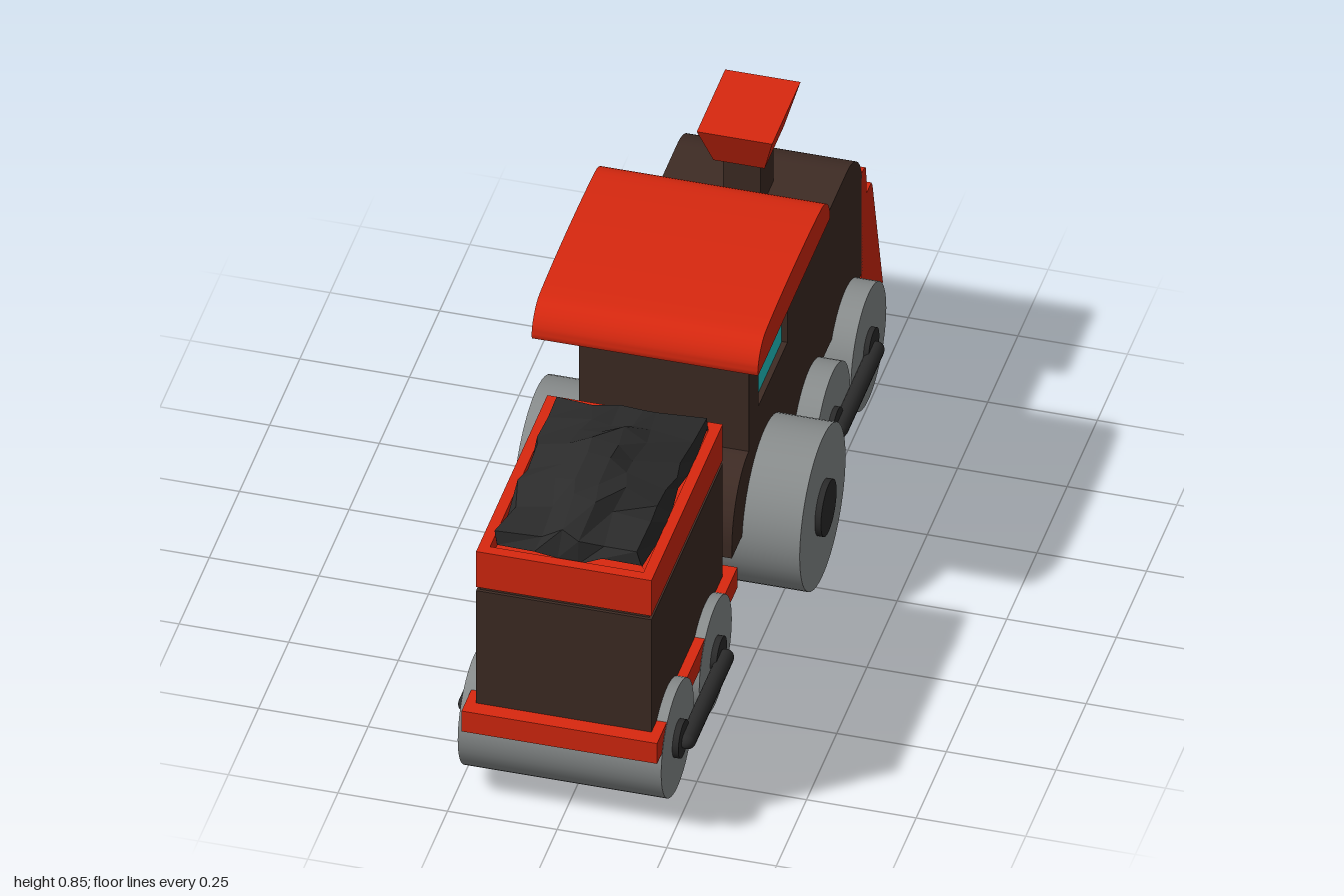
import * as THREE from 'three';
import { toCreasedNormals } from 'three/addons/utils/BufferGeometryUtils.js';

const mat = (color, flatShading = false) => new THREE.MeshStandardMaterial({ color, flatShading });

export function createModel() {
  const red = mat(0xd9280f), brown = mat(0x3f2c25), grey = mat(0x8a8e8e);
  const black = mat(0x2b2b2b), coalMat = mat(0x2b2b2b, true), glass = mat(0x22cccc);
  const root = new THREE.Group();

  const add = (name, geo, material, parent = root) => {
    const m = new THREE.Mesh(geo, material);
    m.name = name;
    parent.add(m);
    return m;
  };
  // box given by its minimum and maximum corners
  const box = (name, material, x0, x1, y0, y1, z0, z1, parent) => {
    const m = add(name, new THREE.BoxGeometry(x1 - x0, y1 - y0, z1 - z0), material, parent);
    m.position.set((x0 + x1) / 2, (y0 + y1) / 2, (z0 + z1) / 2);
    return m;
  };
  // side profile drawn in (z, y), extruded across the width
  const across = (shape, x0, x1) => {
    const g = new THREE.ExtrudeGeometry(shape, { depth: x1 - x0, bevelEnabled: false, curveSegments: 12 });
    g.rotateY(-Math.PI / 2);
    g.translate(x1, 0, 0);
    return toCreasedNormals(g, 0.6);
  };
  const polygon = pts => new THREE.Shape(pts.map(p => new THREE.Vector2(...p)));
  // cylinder lying along x
  const drum = (name, material, r, halfWidth, y, z, parent, x = 0) => {
    const g = new THREE.CylinderGeometry(r, r, halfWidth * 2, 48);
    g.rotateZ(Math.PI / 2);
    add(name, g, material, parent).position.set(x, y, z);
  };

  // Engine: body with fender, cab and rounded boiler nose
  const engine = new THREE.Group();
  engine.name = 'engine';
  root.add(engine);
  const body = new THREE.Shape();
  body.moveTo(-0.83, 0.24);
  body.lineTo(0.25, 0.24);
  body.lineTo(0.25, 0.27);
  body.absellipse(0.11, 0.27, 0.14, 0.163, 0, Math.PI / 2, false);
  body.lineTo(0.11, 0.775);
  body.lineTo(-0.265, 0.775);
  body.lineTo(-0.265, 0.61);
  body.lineTo(-0.7, 0.61);
  body.absellipse(-0.7, 0.48, 0.13, 0.13, Math.PI / 2, Math.PI, false);
  body.closePath();
  body.holes.push(new THREE.Path([[0.03, 0.5], [-0.21, 0.5], [-0.21, 0.72], [0.03, 0.72]]
    .map(p => new THREE.Vector2(...p))));
  add('engineBody', across(body, -0.195, 0.192), brown, engine);
  box('cabWindows', glass, -0.182, 0.179, 0.495, 0.725, -0.215, 0.035, engine);

  // Cab roof with rounded ends
  const roof = new THREE.Shape();
  roof.moveTo(-0.328, 0.768);
  roof.lineTo(0.265, 0.768);
  roof.bezierCurveTo(0.275, 0.79, 0.25, 0.845, 0.19, 0.846);
  roof.bezierCurveTo(0.08, 0.855, -0.14, 0.855, -0.25, 0.846);
  roof.bezierCurveTo(-0.312, 0.845, -0.337, 0.79, -0.328, 0.768);
  add('cabRoof', across(roof, -0.26, 0.256), red, engine);

  // Chimney: square stack and flared square top
  box('chimneyStack', brown, -0.04, 0.045, 0.58, 0.75, -0.63, -0.52, engine);
  const flare = new THREE.CylinderGeometry(Math.SQRT1_2, Math.SQRT1_2 * 0.68, 0.1, 4, 1).rotateY(Math.PI / 4);
  flare.scale(0.172, 1, 0.235);
  add('chimneyTop', toCreasedNormals(flare, 0.3), red, engine).position.set(0.003, 0.795, -0.575);

  // Cowcatcher: upper lip and sloping plough
  add('cowcatcherLip', across(polygon([[-0.825, 0.4], [-0.825, 0.517], [-0.85, 0.515],
    [-0.862, 0.505], [-0.865, 0.4]]), -0.195, 0.192), red, engine);
  add('cowcatcher', across(polygon([[-0.825, 0.078], [-0.825, 0.433], [-0.905, 0.433],
    [-0.914, 0.42], [-1, 0.09], [-0.995, 0.078]]), -0.195, 0.192), red, engine);

  // Wheels: full-width drums with hubs on both ends
  const axle = (name, r, half, hubR, hubHalf, y, z, parent) => {
    const g = new THREE.Group();
    g.name = name;
    parent.add(g);
    drum('wheelDrum', grey, r, half, y, z, g, -0.003);
    drum('hub', black, hubR, hubHalf, y, z, g);
  };
  // connecting rods on both sides
  const rods = (x, y, z0, z1, parent) => {
    for (const s of [-1, 1]) {
      const g = new THREE.CapsuleGeometry(0.019, z1 - z0, 6, 16).rotateX(Math.PI / 2);
      add(s > 0 ? 'leftRod' : 'rightRod', g, black, parent).position.set(s * x, y, (z0 + z1) / 2);
    }
  };
  axle('drivingWheels', 0.19, 0.327, 0.065, 0.338, 0.21, -0.022, engine);
  for (const z of [-0.39, -0.69]) axle('leadingWheels', 0.146, 0.248, 0.045, 0.257, 0.148, z, engine);
  rods(0.262, 0.143, -0.69, -0.39, engine);

  // Coupling bar
  box('coupling', brown, -0.037, 0.041, 0.242, 0.277, 0.2, 0.36);

  // Tender
  const tender = new THREE.Group();
  tender.name = 'tender';
  root.add(tender);
  box('tenderBase', red, -0.218, 0.228, 0.229, 0.285, 0.335, 1, tender);
  box('tenderBody', brown, -0.195, 0.205, 0.28, 0.595, 0.373, 0.963, tender);
  box('tenderGroove', brown, -0.188, 0.198, 0.59, 0.61, 0.38, 0.956, tender);
  const rectangle = (Type, x0, x1, z0, z1) => new Type([[x0, z0], [x1, z0], [x1, z1], [x0, z1]]
    .map(p => new THREE.Vector2(...p)));
  const rim = rectangle(THREE.Shape, -0.195, 0.205, -0.963, -0.373);
  rim.holes.push(rectangle(THREE.Path, -0.17, 0.18, -0.938, -0.398));
  const rimGeo = new THREE.ExtrudeGeometry(rim, { depth: 0.098, bevelEnabled: false }).rotateX(-Math.PI / 2);
  add('tenderRim', rimGeo, red, tender).position.y = 0.605;
  box('tenderFloor', red, -0.175, 0.185, 0.606, 0.665, 0.393, 0.943, tender);
  for (const z of [0.835, 0.52]) axle('tenderWheels', 0.135, 0.232, 0.044, 0.243, 0.18, z, tender);
  rods(0.252, 0.177, 0.52, 0.835, tender);

  // Coal heap: jittered grid raised into a lumpy mound
  let seed = 11;
  const rand = () => ((seed = (seed * 16807) % 2147483647) / 2147483647) - 0.5;
  const nx = 7, nz = 9;
  const heap = new THREE.PlaneGeometry(0.34, 0.53, nx, nz).rotateX(-Math.PI / 2);
  const p = heap.attributes.position;
  for (let i = 0; i < p.count; i++) {
    const col = i % (nx + 1), row = Math.floor(i / (nx + 1));
    const edge = col === 0 || row === 0 || col === nx || row === nz;
    const x = p.getX(i), z = p.getZ(i);
    const d = Math.hypot(x / 0.14, z / 0.25);
    const lump = 0.062 * Math.max(0, Math.min(1, 1.35 * (1 - d)));
    p.setXYZ(i, x + rand() * (edge ? 0.012 : 0.022),
      edge ? 0.7 + rand() * 0.03 : 0.742 + lump + rand() * 0.02, z + rand() * (edge ? 0.014 : 0.03));
  }
  // push the outermost inner ring outward for steep sides
  for (let i = 0; i < p.count; i++) {
    const col = i % (nx + 1), row = Math.floor(i / (nx + 1));
    if (col === 1 || col === nx - 1) p.setX(i, p.getX(i) * 1.3);
    if (row === 1 || row === nz - 1) p.setZ(i, p.getZ(i) * 1.2);
  }
  const coalGeo = heap.toNonIndexed();
  coalGeo.computeVertexNormals();
  coalMat.side = THREE.DoubleSide;
  add('coal', coalGeo, coalMat, tender).position.set(0.007, 0, 0.664);

  return root;
}
